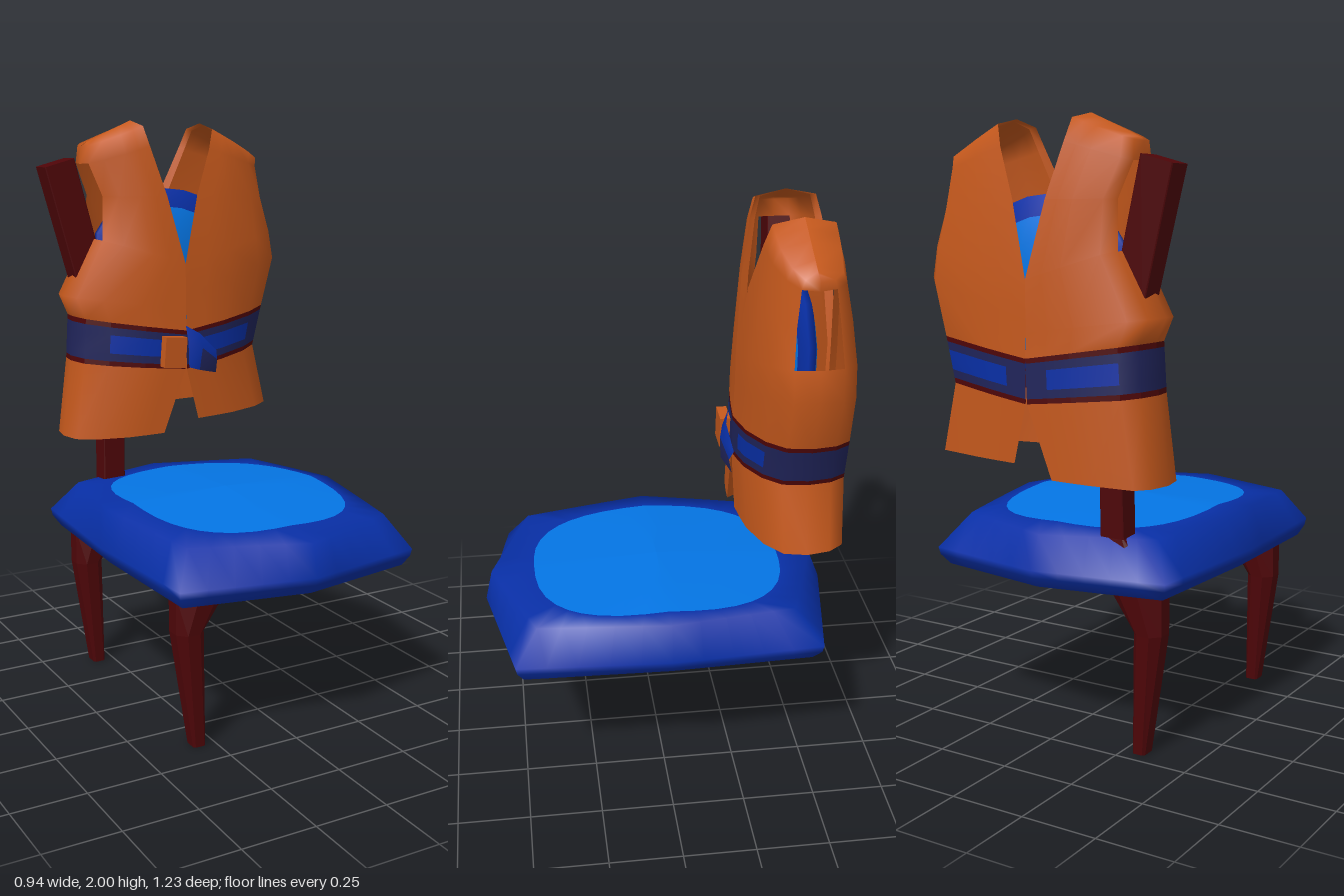
import * as THREE from 'three';

const mat = (name, color, flatShading = false) =>
  Object.assign(new THREE.MeshStandardMaterial({ color, side: THREE.DoubleSide, flatShading }), { name });

const orange = mat('orange cloth', 0xc4581c);
const wood = mat('dark red wood', 0x4e0508, true);
const blue = mat('deep blue', 0x082fa6);
const sky = mat('light blue', 0x0475e4);
const navy = mat('navy belt', 0x20245a);

// Joins rows of points into one surface; pick(r, c) gives a material index, or -1 for a hole.
function sheet(name, rows, closed, mats, pick = () => 0) {
  const n = rows[0].length;
  const faces = mats.map(() => []);
  for (let r = 0; r < rows.length - 1; r++) {
    for (let c = 0; c < (closed ? n : n - 1); c++) {
      const m = pick(r, c);
      if (m < 0) continue;
      const a = r * n + c, b = r * n + (c + 1) % n;
      faces[m].push(a, b, a + n, b, b + n, a + n);
    }
  }
  const geo = new THREE.BufferGeometry();
  geo.setAttribute('position', new THREE.Float32BufferAttribute(rows.flat(2), 3));
  geo.setIndex(faces.flat());
  let start = 0;
  faces.forEach((f, i) => { geo.addGroup(start, f.length, i); start += f.length; });
  geo.computeVertexNormals();
  const mesh = new THREE.Mesh(geo, mats);
  mesh.name = name;
  return mesh;
}

function box(name, material, w, h, d, x, y, z) {
  const mesh = new THREE.Mesh(new THREE.BoxGeometry(w, h, d), material);
  mesh.position.set(x, y, z);
  mesh.name = name;
  return mesh;
}

// Chamfered timber through sections [y, x0, x1, z0, z1, chamfer share, rise of the x1 side]
function timber(name, sections) {
  const rows = sections.map(([y, x0, x1, z0, z1, ch, rise = 0]) =>
    [[ch, 1], [1 - ch, 1], [1, 1 - ch], [1, ch], [1 - ch, 0], [ch, 0], [0, ch], [0, 1 - ch]]
      .map(([u, v]) => [x0 + (x1 - x0) * u, y + rise * u, z0 + (z1 - z0) * v]));
  const cap = (row) => {
    const p = [0, 1, 2].map((k) => row.reduce((s, q) => s + q[k], 0) / row.length);
    return row.map(() => p);
  };
  return sheet(name, [cap(rows[0]), ...rows, cap(rows[rows.length - 1])], true, [wood]);
}

// Hollow cushion shell, open underneath, with a rounded light patch on top
function seat() {
  // Corner points: x, z, then how far the bottom and top edges are drawn in
  const corners = [
    [0, 0.61, 0.94, 0.96], [0.44, 0.52, 0.95, 0.85], [0.47, 0, 0.92, 0.94], [0.44, -0.52, 0.94, 0.83],
    [0, -0.6, 0.94, 0.93], [-0.44, -0.52, 0.94, 0.83], [-0.47, 0, 0.92, 0.94], [-0.44, 0.52, 0.95, 0.85]];
  const outline = [];
  corners.forEach((p, i) => {
    const q = corners[(i + 1) % 8];
    for (let k = 0; k < 5; k++) outline.push(p.map((v, j) => v + (q[j] - v) * k / 5));
  });
  const bottom = outline.map(([x, z, s]) => [x * s, 0.53, z * s]);
  const low = outline.map(([x, z]) => [x * 0.99, 0.565, z * 0.99]);
  const wide = outline.map(([x, z]) => [x, 0.59, z]);
  const edge = outline.map(([x, z, , s]) => [x * s, 0.72 - 0.035 * Math.abs(z), z * s]);
  const patch = (f) => outline.map(([x, z]) => {
    const s = f / Math.pow(Math.abs(x / 0.36) ** 2.7 + Math.abs(z / 0.435) ** 2.7, 1 / 2.7);
    return [x * s + 0.012, 0.743 - 0.065 * Math.abs(z * s) - 0.035 * Math.abs(x * s), z * s];
  });
  const rows = [bottom, low, wide, edge, patch(1), patch(0.5), patch(0)];
  return sheet('seat', rows, true, [blue, sky], (r) => (r < 4 ? 0 : 1));
}

// Arched back cushion: thin blue rim, light faces swelling to front and rear
function backrest() {
  const outline = [[0, 0.275], [0.09, 0.265], [0.18, 0.235], [0.26, 0.12], [0.27, -0.2], [0.2, -0.28],
    [-0.2, -0.28], [-0.27, -0.2], [-0.26, 0.12], [-0.18, 0.235], [-0.09, 0.265]];
  const ring = (s, z) => outline.map(([x, y]) => [x * s, 1.485 + y * s, z]);
  const rows = [ring(0, -0.512), ring(0.5, -0.51), ring(0.76, -0.49), ring(1, -0.47),
    ring(1, -0.45), ring(0.76, -0.43), ring(0.5, -0.407), ring(0, -0.405)];
  return sheet('backrest', rows, true, [blue, sky], (r) => (r < 2 || r > 4 ? 1 : 0));
}

// Half plan of the waistcoat, front edge to back edge: [share of the width, share of the depth].
// It starts and ends with a folded lip; doubled points keep the fold sharp.
const PLAN = [[0.06, 0.83], [0, 1], [0, 1], [0.2, 0.97], [0.42, 0.92], [0.75, 0.7], [0.95, 0.4], [1, -0.05],
  [0.96, -0.5], [0.85, -0.8], [0.42, -0.94], [0.2, -0.98], [0, -1], [0, -1], [0.06, -0.83]];

// Rows are [inner x, inner y, outer x, outer y, half depth], hem to shoulder ridge
function vestHalf(name, rows) {
  const points = rows.map(([xi, yi, xo, yo, d]) =>
    PLAN.map(([t, f]) => [xi + (xo - xi) * t, yi + (yo - yi) * t, -0.44 + f * d]));
  return sheet(name, points, false, [orange, wood, navy, blue], (r, c) => {
    if (r === 1 || r === 5) return 1;                        // belt edging
    if (r === 3 && [3, 4, 9, 10].includes(c)) return 3;      // bright fold in the belt
    if (r >= 2 && r <= 4) return 2;                          // belt
    if (r >= 8 && r <= 9 && (c === 6 || c === 7)) return -1; // armhole
    return 0;
  });
}

function vest() {
  const group = new THREE.Group();
  group.name = 'vest';
  const half = (name, hem, belt0, belt1, upper) => {
    const band = [0, 0.11, 0.29, 0.71, 0.89, 1].map((k) => belt0.map((v, i) => v + (belt1[i] - v) * k));
    group.add(vestHalf(name, [hem, ...band, ...upper]));
  };
  half('rightVestHalf', [-0.09, 0.89, -0.41, 0.88, 0.17],
    [-0.005, 1.12, -0.375, 1.155, 0.176], [0, 1.26, -0.365, 1.315, 0.176], [
      [0, 1.34, -0.4, 1.39, 0.172], [0, 1.5, -0.29, 1.59, 0.172],
      [-0.06, 1.74, -0.28, 1.74, 0.15], [-0.11, 1.91, -0.325, 1.85, 0.12],
      [-0.127, 1.98, -0.32, 1.91, 0.1], [-0.13, 2, -0.31, 1.92, 0]]);
  half('leftVestHalf', [0.05, 0.93, 0.41, 0.94, 0.17],
    [0, 1.12, 0.355, 1.17, 0.176], [0, 1.26, 0.395, 1.32, 0.176], [
      [0, 1.38, 0.447, 1.5, 0.172], [0, 1.5, 0.428, 1.6, 0.172],
      [0.06, 1.74, 0.39, 1.72, 0.15], [0.125, 1.9, 0.37, 1.83, 0.12],
      [0.148, 1.97, 0.375, 1.86, 0.1], [0.15, 1.99, 0.36, 1.88, 0]]);

  // Belt knot and hanging tail
  const knot = box('beltKnot', orange, 0.085, 0.11, 0.035, -0.063, 1.19, -0.242);
  knot.rotation.z = -0.08;
  group.add(knot);
  group.add(sheet('beltTail', [
    [[-0.01, 1.28, -0.25], [-0.01, 1.22, -0.23], [-0.005, 1.13, -0.235]],
    [[0.04, 1.25, -0.235], [0.04, 1.2, -0.215], [0.03, 1.12, -0.22]],
    [[0.115, 1.18, -0.25], [0.11, 1.15, -0.235], [0.11, 1.1, -0.245]],
  ], false, [blue, navy], (r, c) => (r === 1 && c === 1 ? 1 : 0)));
  return group;
}

export function createModel() {
  const model = new THREE.Group();
  model.name = 'chairWithVest';
  model.add(seat());

  // Front leg, and back leg running up into the post
  model.add(timber('frontLeg', [
    [0, -0.33, -0.285, 0.345, 0.4, 0.15], [0.4, -0.39, -0.29, 0.315, 0.425, 0.28],
    [0.53, -0.39, -0.2, 0.3, 0.44, 0.32], [0.58, -0.38, -0.2, 0.31, 0.43, 0.32]]));
  model.add(timber('backLegAndPost', [
    [0, -0.33, -0.285, -0.46, -0.4, 0.15], [0.4, -0.39, -0.29, -0.485, -0.375, 0.28],
    [0.53, -0.39, -0.2, -0.5, -0.36, 0.32], [0.7, -0.27, -0.185, -0.485, -0.41, 0.05],
    [0.95, -0.265, -0.185, -0.49, -0.41, 0.03], [1.42, -0.35, -0.24, -0.5, -0.42, 0.03, 0.02],
    [1.84, -0.46, -0.35, -0.52, -0.43, 0.03, 0.03]]));

  // Padded backrest on a cross rail
  model.add(box('backRail', wood, 0.46, 0.06, 0.06, -0.01, 1.18, -0.45));
  model.add(backrest());

  model.add(vest());
  return model;
}
